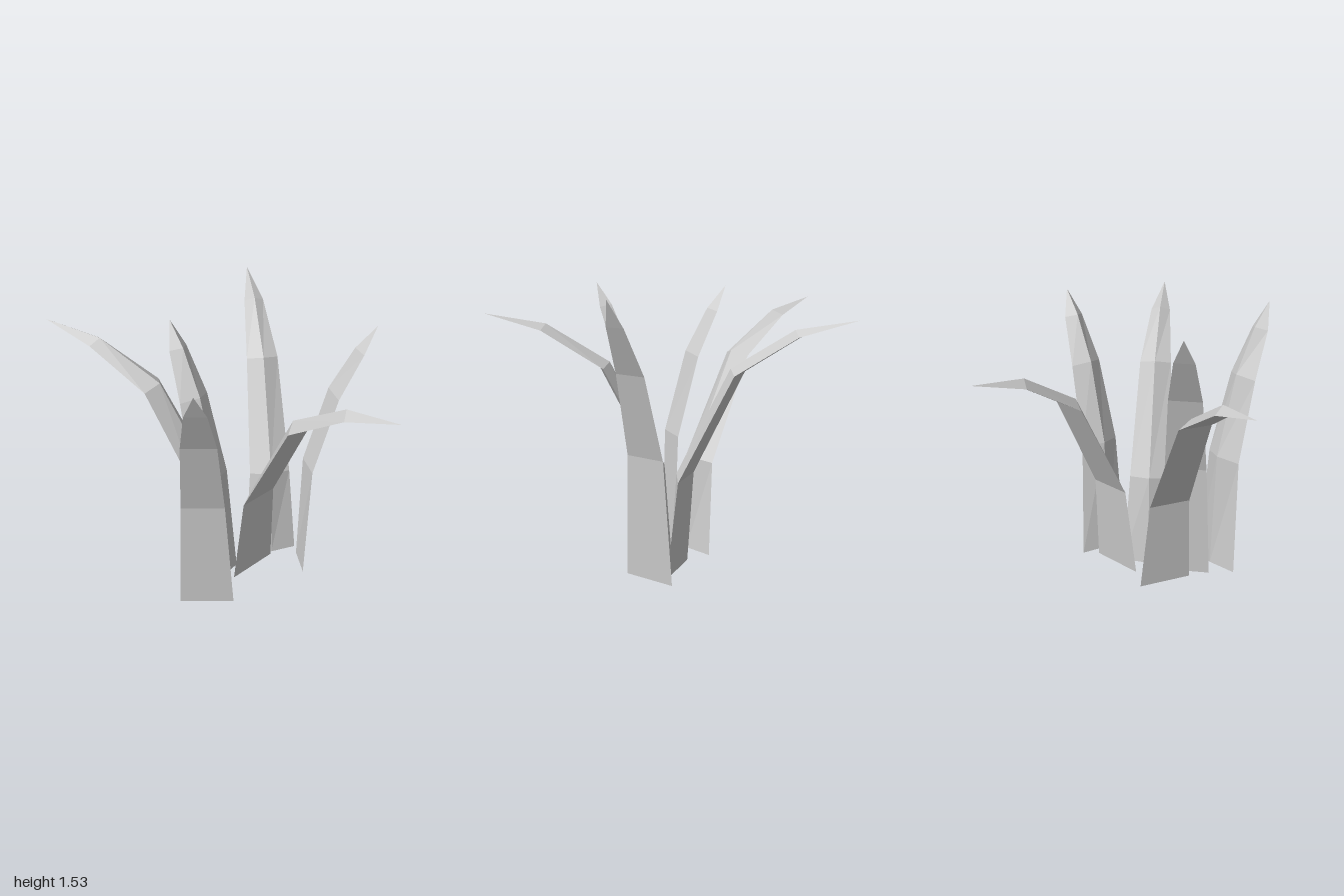
import * as THREE from 'three';

// Each ring: [half width, outer height, outer reach, ridge height, ridge reach]
const DROOPING = [
  [0.15, 0, 0.045, 0.015, 0],
  [0.115, 0.54, 0.095, 0.56, 0.04],
  [0.088, 1.13, 0.39, 1.155, 0.34],
  [0.055, 1.34, 0.71, 1.37, 0.675],
  [0, 1.43, 0.99, 1.43, 0.99],
];
const UPRIGHT = [
  [0.15, 0, 0.045, 0.015, 0],
  [0.115, 0.69, 0.075, 0.71, 0.02],
  [0.09, 1.145, 0.195, 1.17, 0.14],
  [0.055, 1.395, 0.31, 1.41, 0.265],
  [0, 1.535, 0.37, 1.535, 0.37],
];

// Blade with a triangular section: flat outer face, ridge on the inner side
function bladeGeometry(rings) {
  const sections = rings.map(([w, yo, zo, yr, zr]) => [[-w, yo, zo], [w, yo, zo], [0, yr, zr]]);
  const points = [];
  const first = sections[0];
  points.push(...first[0], ...first[2], ...first[1]); // closed foot
  for (let i = 0; i < sections.length - 1; i++) {
    const lower = sections[i], upper = sections[i + 1];
    const atTip = i === sections.length - 2;
    for (let a = 0; a < 3; a++) {
      const b = (a + 1) % 3;
      points.push(...lower[a], ...lower[b], ...upper[b]);
      if (!atTip) points.push(...lower[a], ...upper[b], ...upper[a]);
    }
  }
  const geometry = new THREE.BufferGeometry();
  geometry.setAttribute('position', new THREE.Float32BufferAttribute(points, 3));
  geometry.computeVertexNormals();
  return geometry;
}

export function createModel() {
  const group = new THREE.Group();
  group.name = 'grassTuft';
  const material = new THREE.MeshStandardMaterial({ color: 0xcccccc, flatShading: true });
  const drooping = bladeGeometry(DROOPING);
  const upright = bladeGeometry(UPRIGHT);

  // Name, shape, foot x and z, outward direction x and z
  const blades = [
    ['frontBlade', drooping, -0.058, 0, 0, 1],
    ['backLeftBlade', drooping, 0.1, 0.045, 0.575, -0.81],
    ['backRightBlade', drooping, -0.15, -0.11, -0.45, -0.89],
    ['backBlade', upright, -0.27, 0.01, 0.04, -1],
    ['leftBlade', upright, 0.2, 0.155, 0.67, 0.74],
    ['rightBlade', upright, -0.42, 0.05, -0.69, 0.72],
  ];
  for (const [name, geometry, x, z, dx, dz] of blades) {
    const blade = new THREE.Mesh(geometry, material);
    blade.name = name;
    blade.position.set(x, 0, z);
    blade.rotation.y = Math.atan2(dx, dz);
    group.add(blade);
  }
  return group;
}
